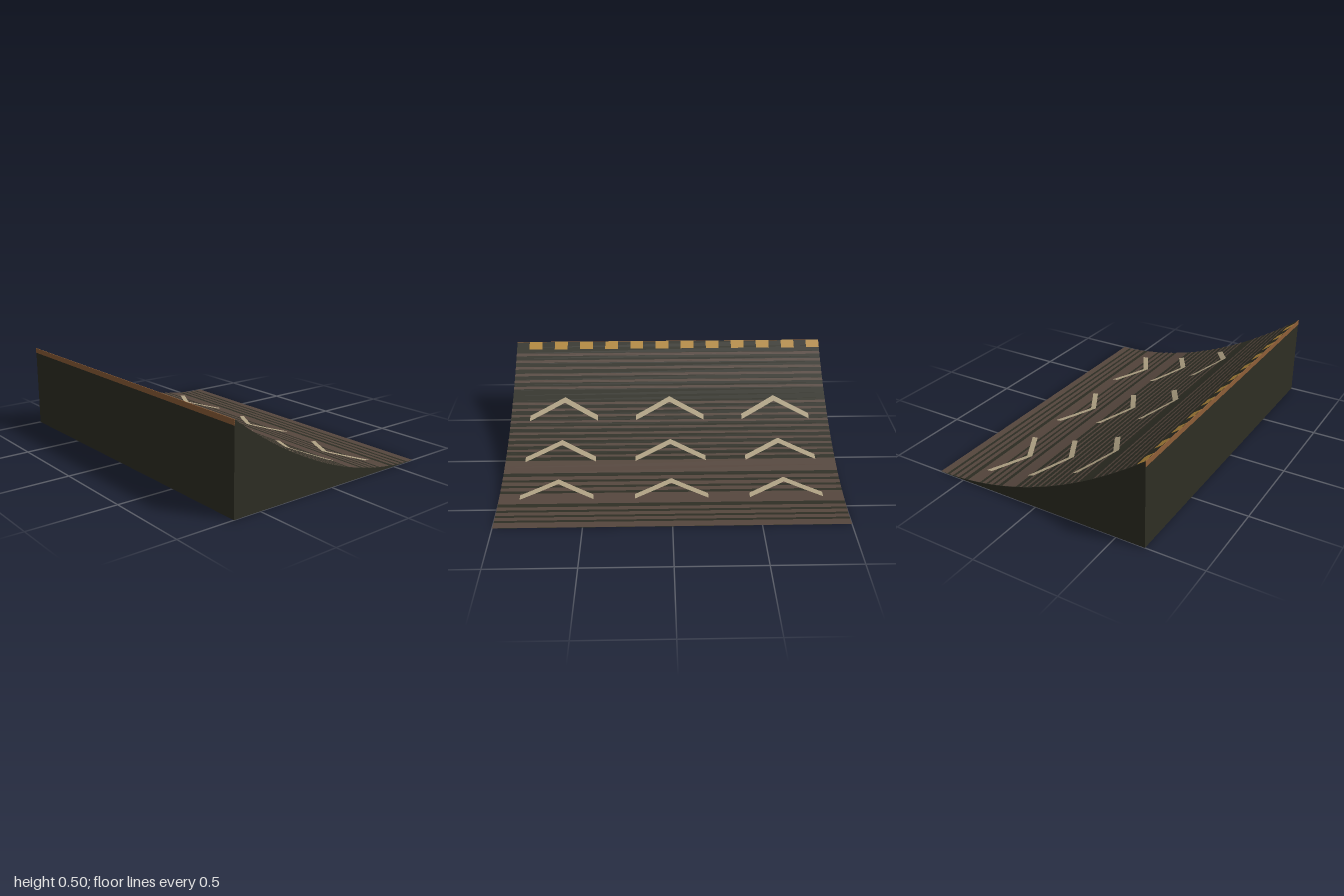
import * as THREE from 'three';
import { mergeGeometries } from 'three/addons/utils/BufferGeometryUtils.js';

const HALF = 2 / 3, HEIGHT = 0.5;
const material = (name, color) => new THREE.MeshStandardMaterial({ name, color });

// height of the curved ramp at depth z
const rampY = (z) => HEIGHT * ((z + HALF) / (2 * HALF)) ** 2;

// thin patch laid on the ramp: x0..x1 wide, back edge running from z0 to z1
function drape(x0, x1, z0, z1, depth, lift, nx = 1, nz = 2) {
  const g = new THREE.PlaneGeometry(1, 1, nx, nz).rotateX(-Math.PI / 2);
  const p = g.attributes.position;
  for (let i = 0; i < p.count; i++) {
    const u = p.getX(i) + 0.5, v = p.getZ(i) + 0.5;
    const z = z0 + (z1 - z0) * u + v * depth;
    p.setXYZ(i, x0 + (x1 - x0) * u, rampY(z) + lift, z);
  }
  g.computeVertexNormals();
  return g;
}

export function createModel() {
  const group = new THREE.Group();
  const dark = material('dark olive', 0x2e2e24);
  const brown = material('worn brown', 0x55463d);
  const tan = material('pale tan', 0xb0a284);
  const amber = material('amber', 0xb58a3c);
  const rust = material('rust orange', 0x8f5f38);
  const add = (name, geometry, mat) => {
    const mesh = new THREE.Mesh(geometry, mat);
    mesh.name = name;
    group.add(mesh);
    return mesh;
  };

  // solid wedge with a parabolic top
  const side = new THREE.Shape();
  side.moveTo(-HALF, 0);
  side.lineTo(HALF, 0);
  side.lineTo(HALF, HEIGHT);
  side.quadraticCurveTo(0, 0, -HALF, 0);
  const body = new THREE.ExtrudeGeometry(side, { depth: 2, bevelEnabled: false, curveSegments: 40 });
  add('rampBody', body.translate(0, 0, -1).rotateY(-Math.PI / 2), dark);

  // cross ribs: [first back edge, count, width, pitch]
  const ribRuns = [
    [-0.667, 1, 0.046, 0],
    [-0.604, 3, 0.026, 0.043],
    [-0.465, 1, 0.085, 0],
    [-0.362, 3, 0.027, 0.044],
    [-0.222, 1, 0.095, 0],
    [-0.101, 10, 0.016, 0.041],
    [0.372, 6, 0.016, 0.0415],
  ];
  const ribs = [];
  for (const [start, count, width, pitch] of ribRuns)
    for (let i = 0; i < count; i++)
      ribs.push(drape(-1, 1, start + i * pitch, start + i * pitch, width, 0.002));
  add('gripRibs', mergeGeometries(ribs), brown);

  // three rows of three arrow marks
  const arrows = [];
  for (const tip of [-0.31, -0.016, 0.278])
    for (const x of [-HALF, 0, HALF]) {
      arrows.push(drape(x - 0.213, x, tip - 0.123, tip, 0.037, 0.005, 8));
      arrows.push(drape(x, x + 0.213, tip, tip - 0.123, 0.037, 0.005, 8));
    }
  add('arrowMarks', mergeGeometries(arrows), tan);

  // dashed warning blocks along the high edge
  const dashes = [];
  for (let i = 0; i < 12; i++) {
    const x = -1 + i / 6;
    dashes.push(drape(x, x + 0.085, 0.619, 0.619, 0.046, 0.003));
  }
  add('edgeDashes', mergeGeometries(dashes), amber);

  // coloured lip on the front face
  add('frontLip', new THREE.BoxGeometry(2, 0.03, 0.004), rust).position.set(0, 0.485, HALF);
  return group;
}
